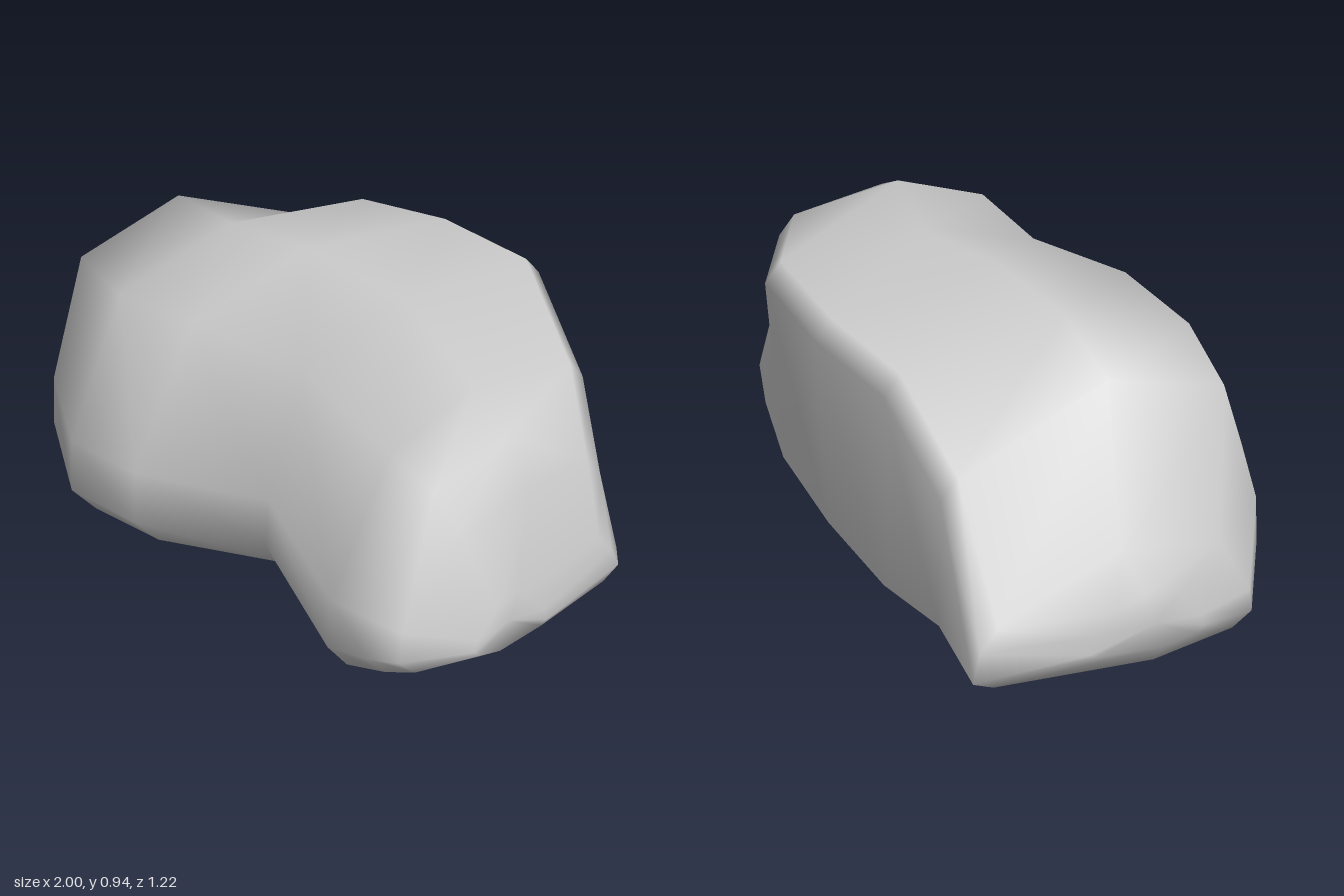
import * as THREE from 'three';

// Stations along x: x, front z, front shoulder z, back top z, back top y, back low z, bottom y, top y
const STATIONS = [
  [-0.99, 0.17, 0.09, -0.15, 0.33, -0.17, 0.18, 0.36],
  [-0.93, 0.35, 0.24, -0.46, 0.32, -0.48, 0.1, 0.47],
  [-0.7, 0.49, 0.36, -0.47, 0.66, -0.48, 0.06, 0.86],
  [-0.4, 0.61, 0.41, -0.51, 0.83, -0.52, 0, 0.905],
  [-0.1, 0.58, 0.36, -0.59, 0.87, -0.57, 0.05, 0.935],
  [0.25, 0.36, 0.23, -0.61, 0.89, -0.58, 0.095, 0.905],
  [0.67, 0.45, 0.25, -0.42, 0.82, -0.49, 0.04, 0.87],
  [0.82, 0.43, 0.22, -0.37, 0.6, -0.455, 0.12, 0.795],
  [0.91, 0.39, 0.2, -0.35, 0.4, -0.38, 0.18, 0.68],
  [0.99, 0.2, 0.13, -0.04, 0.38, -0.05, 0.25, 0.42],
];
const SIDES = 10;
const { lerp } = THREE.MathUtils;

// One rounded section, running from the front over the top and back underneath
function section([x, front, shoulder, backTop, backY, backLow, bottom, top]) {
  const point = (z, y) => new THREE.Vector3(x, y, z);
  const rise = (z, amount) => point(z, lerp(bottom, top, amount));
  return [
    rise(front, 0.21),
    rise(front - 0.01, 0.4),
    rise(shoulder, 0.88),
    rise(lerp(shoulder, backTop, 0.42), 1),
    point(backTop + 0.05, backY),
    point(backTop, backY - 0.06),
    rise(backLow, 0.19),
    rise(lerp(front, backLow, 0.93), 0.12),
    rise(lerp(front, backLow, 0.36), 0),
    rise(lerp(front, backLow, 0.07), 0.1),
  ];
}

// Skin the sections and close each end with a fan; shared vertices keep it smooth
function rockGeometry() {
  const points = STATIONS.flatMap(section);
  const last = (STATIONS.length - 1) * SIDES;
  const leftTip = points.length;
  points.push(new THREE.Vector3(-1, 0.27, 0.02), new THREE.Vector3(1, 0.35, 0.09));
  const index = [];
  for (let j = 0; j < SIDES; j++) {
    const k = (j + 1) % SIDES;
    for (let i = 0; i < last; i += SIDES) {
      const a = i + j;
      const b = i + k;
      index.push(a, a + SIDES, b, b, a + SIDES, b + SIDES);
    }
    index.push(leftTip, j, k, leftTip + 1, last + k, last + j);
  }
  const geometry = new THREE.BufferGeometry().setFromPoints(points);
  geometry.setIndex(index);
  geometry.computeVertexNormals();
  return geometry;
}

export function createModel() {
  const group = new THREE.Group();
  group.name = 'boulder';
  const rock = new THREE.Mesh(rockGeometry(), new THREE.MeshStandardMaterial({ color: 0xcccccc }));
  rock.name = 'rock';
  group.add(rock);
  return group;
}
